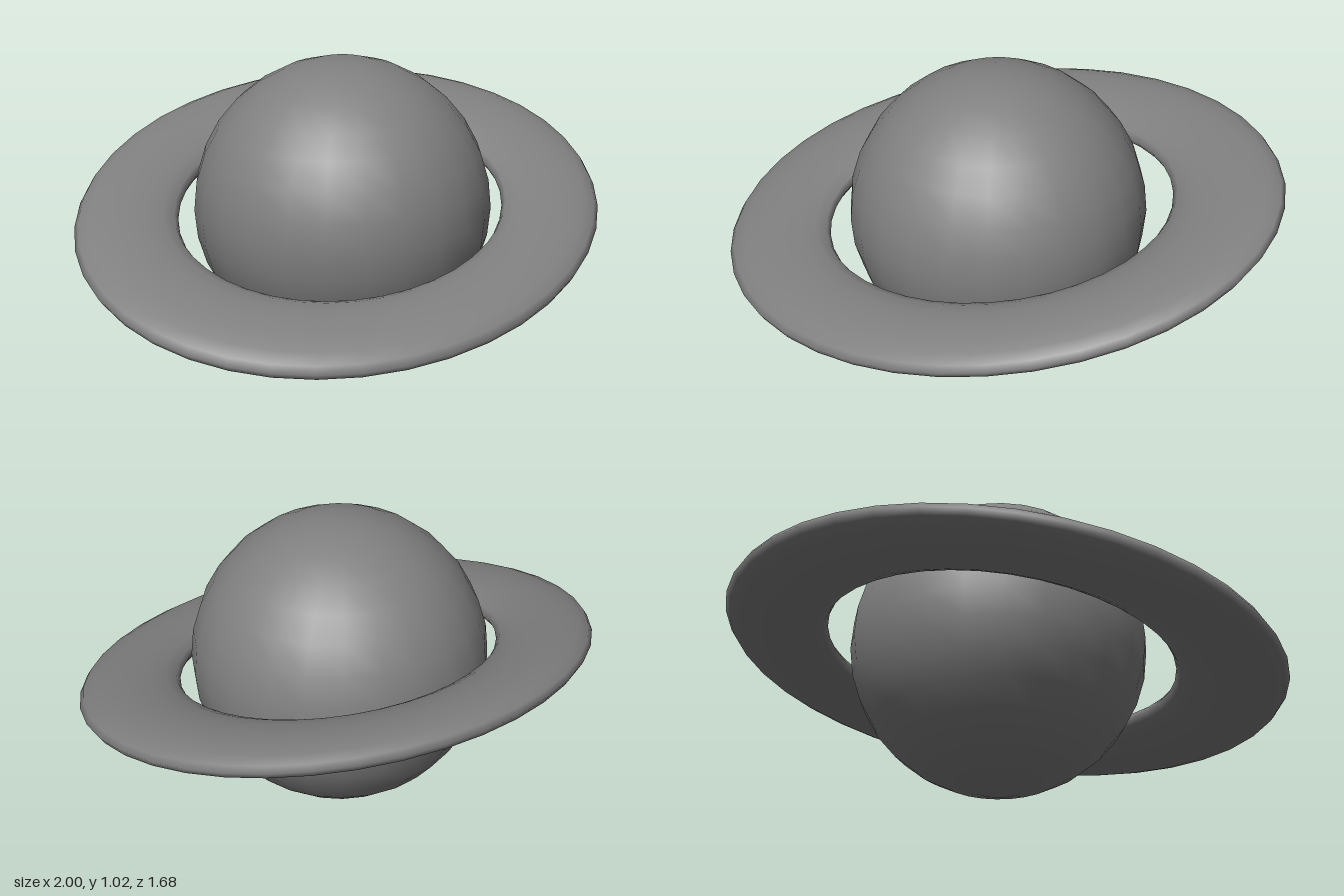
import * as THREE from 'three';

const material = () => new THREE.MeshStandardMaterial({ color: 0x808080 });

// Flattened torus, stretched to an oval and sheared into a tilted plane
function tiltedRing() {
  const geo = new THREE.TorusGeometry(0.81, 0.19, 16, 40);
  geo.rotateX(-Math.PI / 2);
  geo.scale(1, 0.3, 0.838);
  const shear = new THREE.Matrix4().set(
    1, 0, 0, 0,
    0.152, 1, -0.178, 0,
    0, 0, 1, 0,
    0, 0, 0, 1
  );
  geo.applyMatrix4(shear);
  return geo;
}

export function createModel() {
  const model = new THREE.Group();
  model.name = 'ringedPlanet';

  // Globe
  const globe = new THREE.Mesh(new THREE.SphereGeometry(0.511, 24, 16), material());
  globe.name = 'globe';
  globe.position.y = 0.511;
  model.add(globe);

  // Ring around the globe, rising to +x and to the back
  const ring = new THREE.Mesh(tiltedRing(), material());
  ring.name = 'ring';
  ring.position.y = 0.503;
  model.add(ring);

  return model;
}
